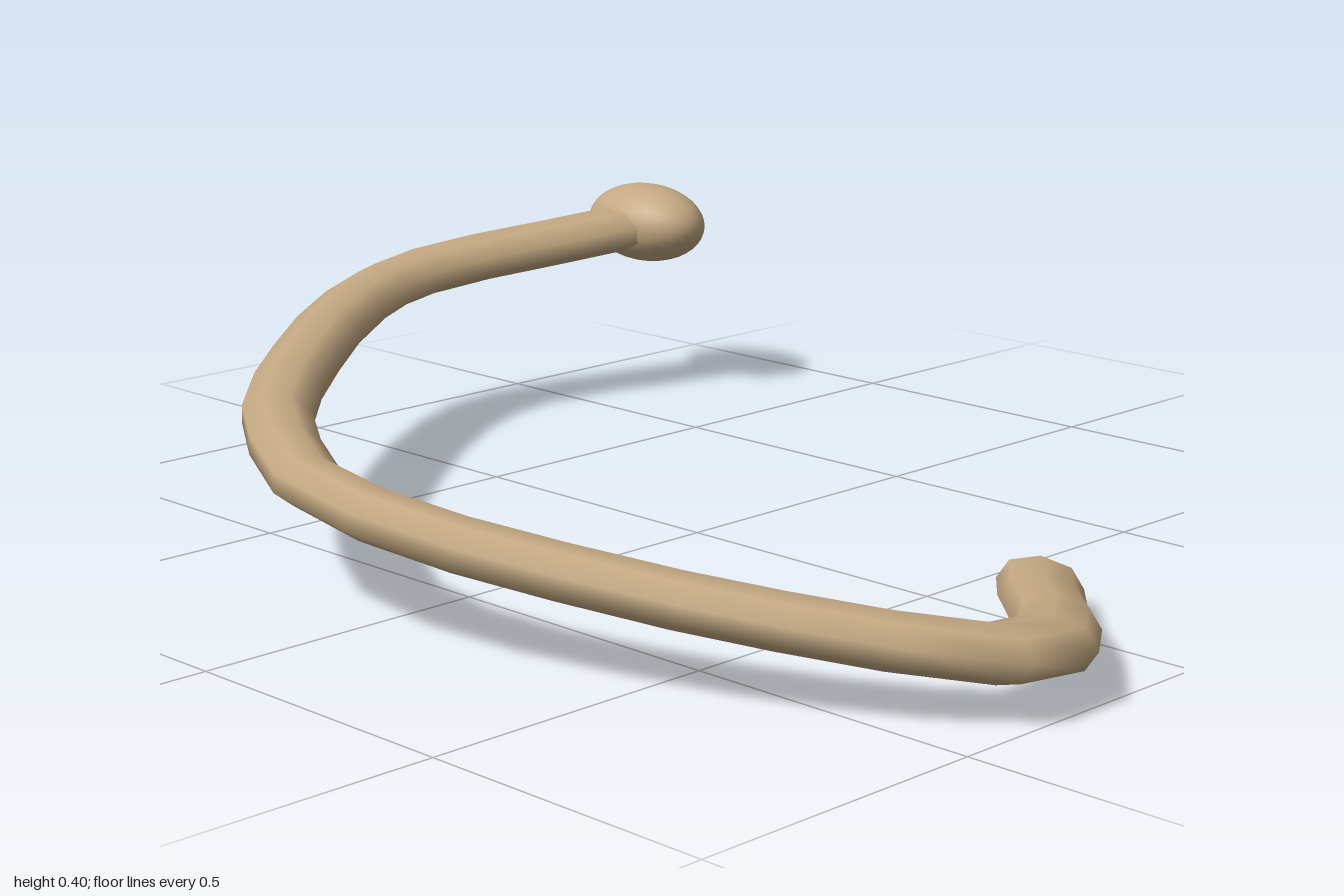
import * as THREE from 'three';

// The whole piece is a round tube and ball, squashed in x and y
const SQUASH = new THREE.Vector3(0.64, 0.555, 1);

// Centre line of the hook, in final coordinates
const LINE = [
  [0.07, 0.042, 0.665], [-0.025, 0.053, 0.745], [-0.128, 0.066, 0.85], [-0.237, 0.08, 0.93],
  [-0.358, 0.093, 0.932], [-0.46, 0.111, 0.825], [-0.54, 0.128, 0.695], [-0.605, 0.143, 0.56],
  [-0.665, 0.16, 0.39], [-0.71, 0.175, 0.225], [-0.732, 0.19, 0.05], [-0.71, 0.202, -0.125],
  [-0.635, 0.214, -0.275], [-0.55, 0.224, -0.405], [-0.43, 0.234, -0.53], [-0.305, 0.243, -0.64],
  [-0.165, 0.253, -0.755], [-0.025, 0.263, -0.85], [0.09, 0.272, -0.905], [0.2, 0.282, -0.925],
  [0.33, 0.293, -0.912], [0.49, 0.307, -0.87], [0.64, 0.32, -0.835],
];

const unsquash = (p) => new THREE.Vector3(...p).divide(SQUASH);

export function createModel() {
  const model = new THREE.Group();
  model.name = 'hook';
  const material = new THREE.MeshStandardMaterial({ color: 0xc4a882, side: THREE.DoubleSide });

  // Curved rod, open at the free end, with one ring per centre-line point
  const path = new THREE.CatmullRomCurve3(LINE.map(unsquash));
  path.getUtoTmapping = (u) => u;
  const rod = new THREE.Mesh(new THREE.TubeGeometry(path, LINE.length - 1, 0.076, 8, false), material);
  rod.name = 'curvedRod';

  // Ball at the upper end
  const ball = new THREE.Mesh(new THREE.SphereGeometry(0.136, 32, 20), material);
  ball.name = 'endBall';
  ball.position.copy(unsquash([0.69, 0.325, -0.825]));

  const squashed = new THREE.Group();
  squashed.name = 'hookBody';
  squashed.scale.copy(SQUASH);
  squashed.add(rod, ball);
  model.add(squashed);
  return model;
}
